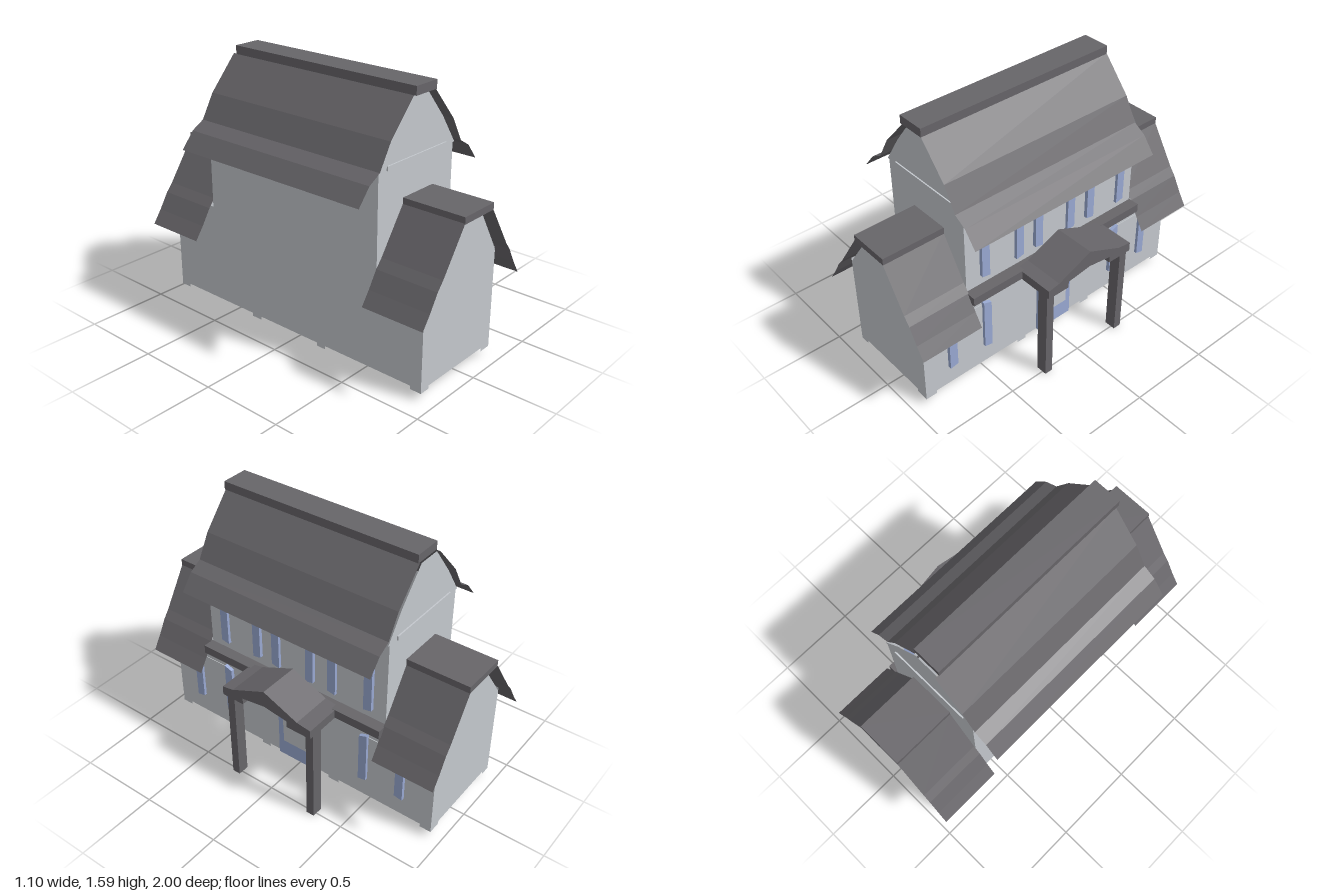
import * as THREE from 'three';

export function createModel() {
  const house = new THREE.Group();
  house.name = 'house';

  const mat = (name, color, side = THREE.FrontSide) => {
    const m = new THREE.MeshStandardMaterial({ color, side, flatShading: true });
    m.name = name;
    return m;
  };
  const plaster = mat('plaster', 0xc4c8cd, THREE.DoubleSide);
  const slate = mat('slate', 0x676569, THREE.DoubleSide);
  const blue = mat('blue paint', 0x99a9d2);

  const add = (name, geometry, material) => {
    const mesh = new THREE.Mesh(geometry, material);
    mesh.name = name;
    house.add(mesh);
    return mesh;
  };
  const shapeOf = (pts) => new THREE.Shape(pts.map(([a, b]) => new THREE.Vector2(a, b)));

  // box given by its limits
  const box = (name, material, [x0, x1], [y0, y1], [z0, z1]) => {
    const g = new THREE.BoxGeometry(x1 - x0, y1 - y0, z1 - z0);
    add(name, g, material).position.set((x0 + x1) / 2, (y0 + y1) / 2, (z0 + z1) / 2);
  };

  // slab with a (z, y) outline, starting at x and growing towards +x
  const sidePlate = (name, material, pts, x, depth) => {
    const shape = shapeOf(pts.map(([z, y]) => [-z, y]));
    const g = depth
      ? new THREE.ExtrudeGeometry(shape, { depth, bevelEnabled: false })
      : new THREE.ShapeGeometry(shape);
    add(name, g.rotateY(Math.PI / 2), material).position.x = x;
  };

  // flat wall with an (x, y) outline, facing along z
  const endWall = (name, pts, z) => {
    const g = new THREE.ShapeGeometry(shapeOf(pts));
    if (z < 0) {
      // reverse the faces so the back walls look outwards
      const idx = g.index.array;
      for (let i = 0; i < idx.length; i += 3) [idx[i], idx[i + 1]] = [idx[i + 1], idx[i]];
      g.computeVertexNormals();
    }
    add(name, g, plaster).position.z = z;
  };

  // curved roof sheet: profile of [fraction from ridge to eave, height]
  const roofSheet = (name, profile, ridgeX, eaveX, z0, z1) => {
    const v = [];
    const at = ([t, y], z) => [ridgeX + (eaveX - ridgeX) * t, y, z];
    for (let i = 0; i < profile.length - 1; i++) {
      let a = at(profile[i], z0), b = at(profile[i], z1);
      let c = at(profile[i + 1], z1), d = at(profile[i + 1], z0);
      if (eaveX < ridgeX) [a, b, c, d] = [b, a, d, c];
      v.push(...a, ...b, ...c, ...a, ...c, ...d);
    }
    const g = new THREE.BufferGeometry();
    g.setAttribute('position', new THREE.Float32BufferAttribute(v, 3));
    g.computeVertexNormals();
    add(name, g, slate);
  };

  // long walls: low wings, tall middle, four small feet
  const longWall = [
    [-0.94, 0.045], [-0.87, 0.045], [-0.87, 0.065], [-0.31, 0.065], [-0.31, 0.045],
    [-0.24, 0.045], [-0.24, 0.065], [0.2, 0.065], [0.2, 0.045], [0.26, 0.045],
    [0.26, 0.065], [0.85, 0.065], [0.85, 0.045], [0.92, 0.045],
    [0.92, 0.66], [0.615, 0.66], [0.615, 1.2], [-0.615, 1.2], [-0.615, 0.66], [-0.94, 0.66],
  ];
  sidePlate('porchSideWall', plaster, longWall, 0.265, 0);
  // the opposite wall has its outward face turned to -x
  const rear = new THREE.ShapeGeometry(shapeOf(longWall)).rotateY(-Math.PI / 2);
  add('rearSideWall', rear, plaster).position.x = -0.365;

  // wing end walls with feet and clipped gables
  for (const z of [0.92, -0.94]) {
    endWall('wingEndWall', [
      [-0.365, 0.045], [-0.3, 0.045], [-0.3, 0.065], [0.185, 0.065], [0.185, 0.045],
      [0.265, 0.045], [0.265, 0.635], [0.245, 0.68], [0.085, 0.95], [-0.14, 0.95],
      [-0.335, 0.68], [-0.365, 0.635],
    ], z);
  }
  // main gables
  for (const z of [0.615, -0.615]) {
    endWall('mainGable', [
      [-0.365, 0.6], [0.265, 0.6], [0.265, 1.18], [0.28, 1.18], [0.165, 1.35],
      [0.01, 1.535], [-0.13, 1.535], [-0.27, 1.35], [-0.38, 1.18], [-0.365, 1.18],
    ], z);
    const out = z > 0 ? [z, z + 0.008] : [z - 0.008, z];
    box('gableLedge', plaster, [-0.3, 0.2], [1.175, 1.2], out);
  }

  // main roof
  const mainProfile = [[0, 1.535], [0.425, 1.34], [0.62, 1.2], [0.81, 1.155], [1, 1.06]];
  roofSheet('mainRoofPorchSide', mainProfile, 0.02, 0.42, -0.61, 0.665);
  roofSheet('mainRoofRearSide', mainProfile, -0.14, -0.555, -0.63, 0.65);
  box('mainRidgeCap', slate, [-0.145, 0.025], [1.535, 1.585], [-0.605, 0.668]);

  // wing roofs
  const wingProfile = [[0, 0.955], [0.52, 0.71], [0.65, 0.66], [0.83, 0.565], [1, 0.487]];
  const wings = [
    { z: [0.615, 0.998], ridge: -0.16, eave: -0.48 },
    { z: [-0.998, -0.615], ridge: -0.185, eave: -0.51 },
  ];
  for (const { z, ridge, eave } of wings) {
    roofSheet('wingRoofPorchSide', wingProfile, 0.09, 0.388, ...z);
    roofSheet('wingRoofRearSide', wingProfile, ridge, eave, ...z);
    box('wingRidgeCap', slate, [ridge, 0.095], [0.95, 0.99], z);
  }

  // ledge between the floors and porch
  box('floorLedge', slate, [0.265, 0.335], [0.605, 0.658], [-0.62, 0.62]);
  sidePlate('porchRoof', slate, [
    [0.285, 0.6], [0.285, 0.655], [0.21, 0.668], [-0.015, 0.765], [-0.24, 0.668],
    [-0.33, 0.655], [-0.33, 0.6], [-0.17, 0.6], [-0.17, 0.64], [-0.015, 0.662],
    [0.14, 0.64], [0.14, 0.6],
  ], 0.295, 0.253);
  for (const z of [0.25, -0.305]) {
    box('porchPost', slate, [0.455, 0.525], [0, 0.62], [z - 0.025, z + 0.025]);
  }

  // door with an arched pane
  sidePlate('door', blue, [
    [0.115, 0.065], [0.115, 0.435], [0.055, 0.513], [-0.08, 0.513], [-0.135, 0.435], [-0.135, 0.065],
  ], 0.265, 0.016);
  sidePlate('doorPane', plaster, [
    [0.075, 0.175], [0.08, 0.36], [0.06, 0.42], [0.025, 0.445], [-0.045, 0.445],
    [-0.08, 0.42], [-0.1, 0.36], [-0.1, 0.175],
  ], 0.281, 0.004);

  // windows: plain pane with a slanted shutter on each side
  const windowAt = (z, half, y0, y1, flare) => {
    sidePlate('windowPane', plaster, [
      [z - half + 0.05, y0 + 0.01], [z + half - 0.05, y0 + 0.01],
      [z + half - 0.05, y1 - 0.02], [z - half + 0.05, y1 - 0.02],
    ], 0.265, 0.004);
    for (const s of [1, -1]) {
      const outer = z + s * half, inner = z + s * (half - 0.052);
      const [a, b] = flare > 0 ? [outer, inner] : [inner, outer];
      sidePlate('shutter', blue, [
        [a, y0 + 0.01], [a, y1], [b, y1 - 0.018], [b, y0],
      ], 0.265, 0.022);
    }
  };
  for (const z of [0.375, 0, -0.388]) windowAt(z, 0.145, 0.71, 0.998, 1);
  for (const z of [0.612, -0.608]) windowAt(z, 0.148, 0.192, 0.528, -1);

  return house;
}
